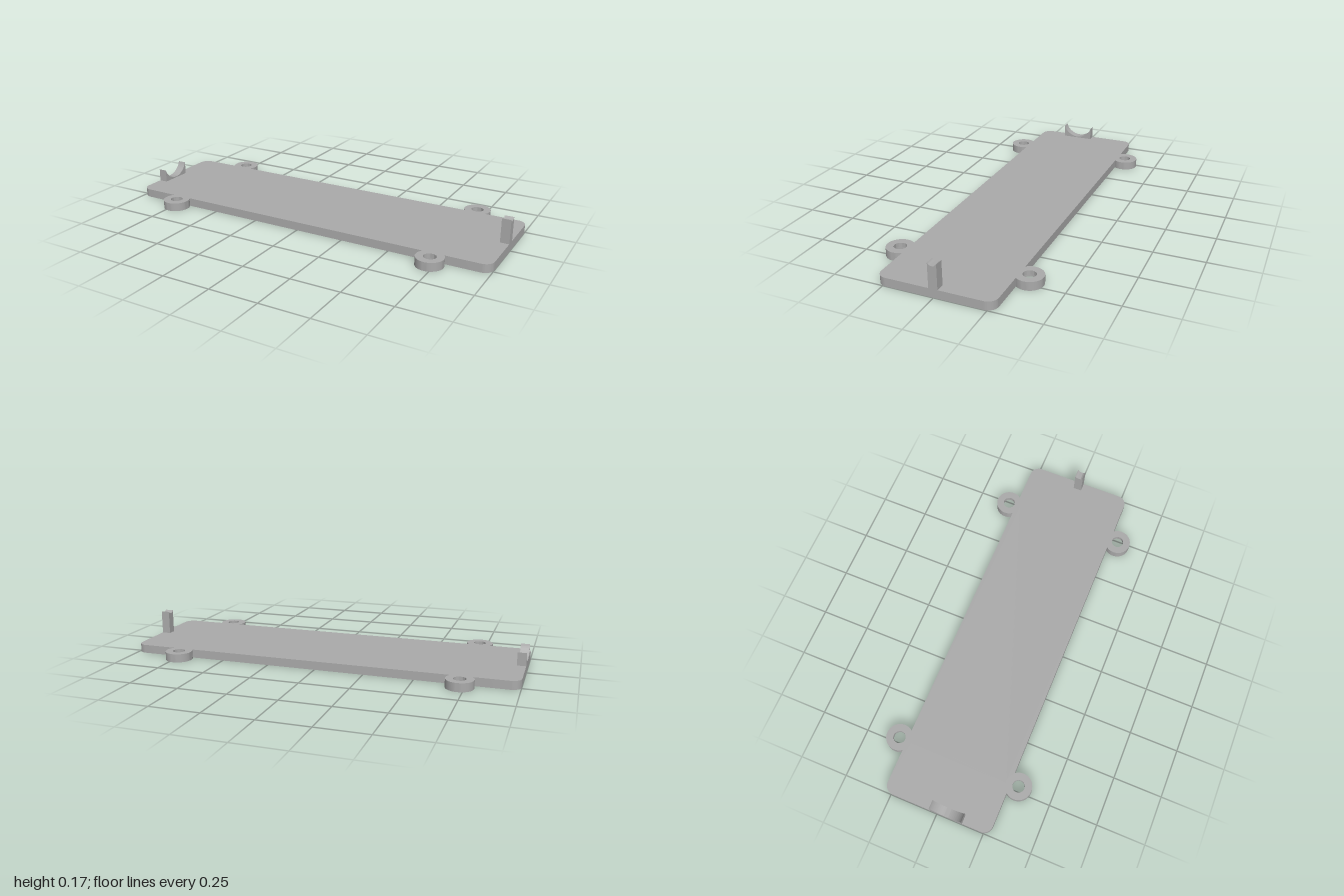
import * as THREE from 'three';
import { toCreasedNormals } from 'three/addons/utils/BufferGeometryUtils.js';

const THICK = 0.043; // plate thickness
const HALF_Z = 0.283; // half depth of the plate
const LUG = { x: 0.727, z: 0.325, r: 0.068, hole: 0.031, bore: 0.051, step: 0.022 };

// Rounded rectangle with shallow seats along both long edges for the lugs
function plateShape() {
  const c = 0.048, X = 1, Z = HALF_Z, seat = LUG.r - 0.002;
  const a = Math.asin((LUG.z - Z) / seat);
  const s = new THREE.Shape();
  s.moveTo(-X + c, -Z);
  for (const x of [-LUG.x, LUG.x]) s.absarc(x, -LUG.z, seat, Math.PI - a, a, true);
  s.absarc(X - c, -Z + c, c, -Math.PI / 2, 0, false);
  s.absarc(X - c, Z - c, c, 0, Math.PI / 2, false);
  for (const x of [LUG.x, -LUG.x]) s.absarc(x, LUG.z, seat, -a, -Math.PI + a, true);
  s.absarc(-X + c, Z - c, c, Math.PI / 2, Math.PI, false);
  s.absarc(-X + c, -Z + c, c, Math.PI, Math.PI * 1.5, false);
  return s;
}

// Upright block whose top is scooped out by a circular arc
function scoopedSupport(halfWidth, top, dip, thickness) {
  const sag = top - dip;
  const r = (halfWidth * halfWidth + sag * sag) / (2 * sag);
  const cy = dip + r;
  const end = Math.atan2(top - cy, halfWidth);
  const s = new THREE.Shape();
  s.moveTo(-halfWidth, THICK);
  s.lineTo(halfWidth, THICK);
  s.lineTo(halfWidth, top);
  s.absarc(0, cy, r, end, -Math.PI - end, true);
  s.closePath();
  const g = new THREE.ExtrudeGeometry(s, { depth: thickness, bevelEnabled: false, curveSegments: 24 });
  g.rotateY(-Math.PI / 2);
  g.translate(thickness / 2, 0, 0);
  return toCreasedNormals(g, 0.6);
}

export function createModel() {
  const group = new THREE.Group();
  const grey = new THREE.MeshStandardMaterial({ color: 0xaaaaaa });
  grey.name = 'grey plastic';

  const add = (name, geometry, x = 0, y = 0, z = 0) => {
    const mesh = new THREE.Mesh(geometry, grey);
    mesh.name = name;
    mesh.position.set(x, y, z);
    group.add(mesh);
  };

  // Base plate
  const plate = new THREE.ExtrudeGeometry(plateShape(), {
    depth: THICK, bevelEnabled: false, curveSegments: 16,
  });
  plate.rotateX(-Math.PI / 2);
  add('basePlate', toCreasedNormals(plate, 0.6));

  // Screw lugs, counterbored from below
  const profile = [
    [LUG.bore, 0], [LUG.r, 0], [LUG.r, THICK], [LUG.hole, THICK],
    [LUG.hole, LUG.step], [LUG.bore, LUG.step], [LUG.bore, 0],
  ].map(([r, y]) => new THREE.Vector2(r, y));
  const lug = toCreasedNormals(new THREE.LatheGeometry(profile, 48), 0.6);
  for (const [sx, side] of [[1, 'Left'], [-1, 'Right']]) {
    add('front' + side + 'Lug', lug, sx * LUG.x, 0, LUG.z);
    add('back' + side + 'Lug', lug, sx * LUG.x, 0, -LUG.z);
  }

  // End supports: wide low cradle and narrow tall post
  add('cradle', scoopedSupport(0.085, 0.109, 0.048, 0.045), -0.9775, 0, 0.053);
  add('post', scoopedSupport(0.022, 0.165, 0.153, 0.045), 0.9775, 0, 0);

  return group;
}
